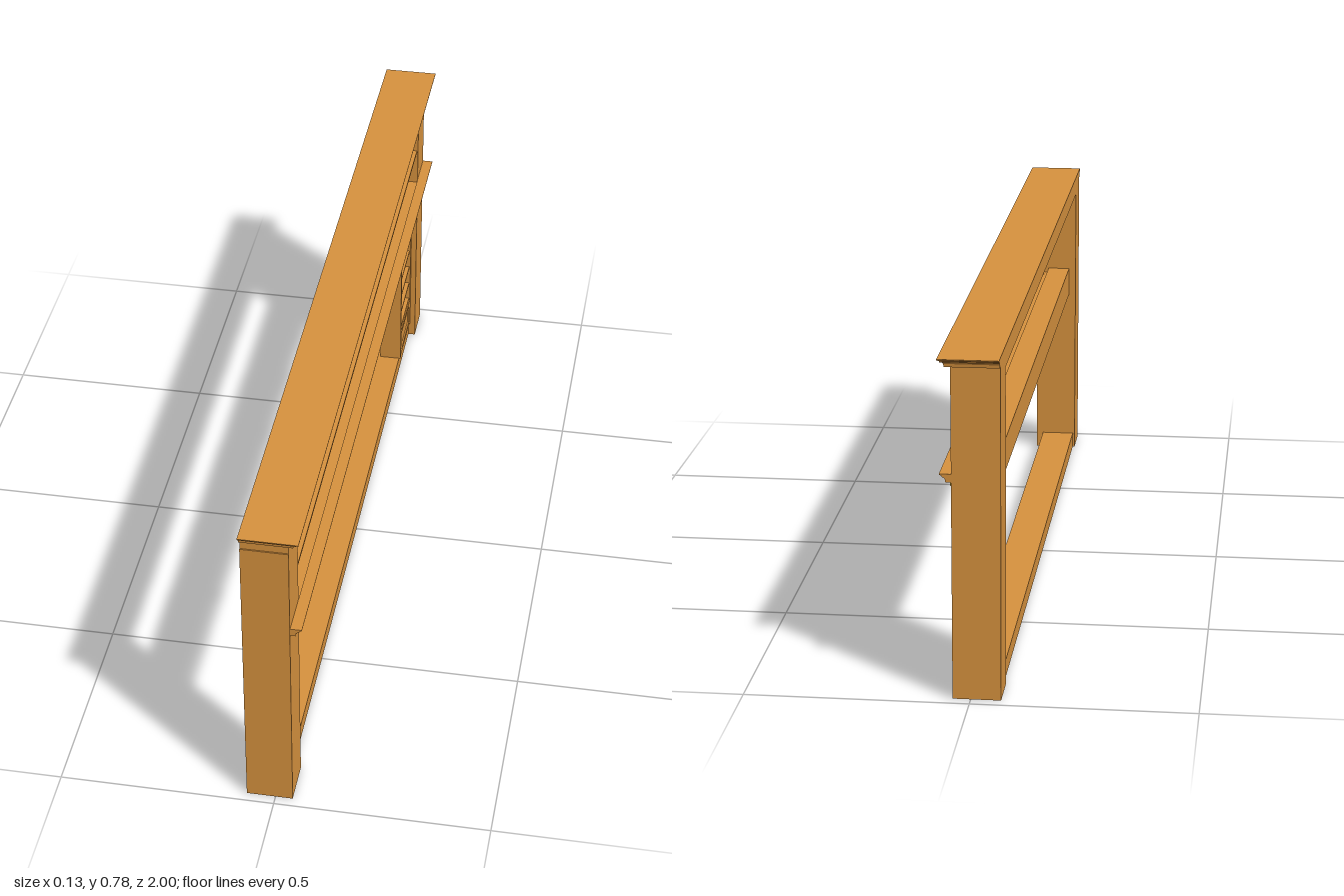
import * as THREE from 'three';

const wood = new THREE.MeshStandardMaterial({ color: 0xd8933f });
wood.name = 'oak wood';
const brass = new THREE.MeshStandardMaterial({ color: 0xb8962a });
brass.name = 'brass';

const BACK = -0.067, FRONT = 0.04, END = 0.974, INNER = 0.875;

function add(parent, name, geometry, material = wood) {
  const mesh = new THREE.Mesh(geometry, material);
  mesh.name = name;
  parent.add(mesh);
  return mesh;
}

// Box given by its limits on each axis
function box(parent, name, x0, x1, y0, y1, z0, z1) {
  const mesh = add(parent, name, new THREE.BoxGeometry(x1 - x0, y1 - y0, z1 - z0));
  mesh.position.set((x0 + x1) / 2, (y0 + y1) / 2, (z0 + z1) / 2);
  return mesh;
}

// Profile in x and y, run straight along z
function moulding(parent, name, points, z0, z1) {
  const shape = new THREE.Shape(points.map(([x, y]) => new THREE.Vector2(x, y)));
  const geometry = new THREE.ExtrudeGeometry(shape, { depth: z1 - z0, bevelEnabled: false });
  geometry.translate(0, 0, z0);
  return add(parent, name, geometry);
}

// Mitred cornice: rectangles growing by an overhang on the front and both ends
function corniceGeometry(profile) {
  const rings = profile.map(([o, y]) => [
    [BACK, y, END + o], [FRONT + o, y, END + o],
    [FRONT + o, y, -END - o], [BACK, y, -END - o],
  ]);
  const out = [];
  const quad = (a, b, c, d) => out.push(...a, ...b, ...c, ...a, ...c, ...d);
  for (let i = 0; i < rings.length - 1; i++) {
    for (let k = 0; k < 4; k++) {
      const n = (k + 1) % 4;
      quad(rings[i][k], rings[i][n], rings[i + 1][n], rings[i + 1][k]);
    }
  }
  const low = rings[0];
  quad(low[3], low[2], low[1], low[0]);
  quad(...rings[rings.length - 1]);
  const geometry = new THREE.BufferGeometry();
  geometry.setAttribute('position', new THREE.Float32BufferAttribute(out, 3));
  geometry.computeVertexNormals();
  return geometry;
}

const CAB_Z0 = -INNER, CAB_Z1 = -0.7, SIDE = 0.011;

// Open shelf cabinet on a closed base
function shelfCabinet(parent, name, x0, x1, y0, y1, baseTop, openTop, shelves) {
  const group = new THREE.Group();
  group.name = name;
  const xi = x0 + 0.006, za = CAB_Z0 + SIDE, zb = CAB_Z1 - SIDE;
  box(group, 'cabinetBack', x0, xi, y0, y1, CAB_Z0, CAB_Z1);
  box(group, 'innerSide', xi, x1, y0, y1, zb, CAB_Z1);
  box(group, 'outerSide', xi, x1, y0, y1, CAB_Z0, za);
  box(group, 'cabinetTop', xi, x1, openTop, y1, za, zb);
  box(group, 'cabinetBase', xi, x1 - 0.004, y0, baseTop, za, zb);
  for (const y of shelves) {
    box(group, 'shelf', xi, x1 - 0.003, y - 0.0025, y + 0.0025, za, zb);
  }
  parent.add(group);
}

// Raised border around a panel on the cabinet base
function panelFrame(parent, x, y0, y1) {
  const w = CAB_Z1 - CAB_Z0 - 2 * SIDE, h = y1 - y0, m = 0.012;
  const border = new THREE.Shape();
  border.moveTo(0, 0).lineTo(w, 0).lineTo(w, h).lineTo(0, h).closePath();
  const hole = new THREE.Path();
  hole.moveTo(m, m).lineTo(m, h - m).lineTo(w - m, h - m).lineTo(w - m, m).closePath();
  border.holes.push(hole);
  const frame = add(parent, 'panelFrame', new THREE.ExtrudeGeometry(border, { depth: 0.004, bevelEnabled: false }));
  frame.rotation.y = Math.PI / 2;
  frame.position.set(x, y0, CAB_Z1 - SIDE);
}

export function createModel() {
  const model = new THREE.Group();
  model.name = 'barFrame';

  // Main frame
  box(model, 'leftPost', BACK, FRONT, 0, 0.73, INNER, END + 0.003);
  box(model, 'rightPost', BACK, FRONT, 0, 0.73, -END, -INNER);
  box(model, 'topBeam', BACK, FRONT, 0.73, 0.757, -END, END);
  box(model, 'bottomRail', -0.062, 0.022, 0, 0.04, -INNER, INNER);

  // Middle beam with a lower step along the front of the counter
  box(model, 'middleBeam', -0.049, 0.018, 0.445, 0.508, -INNER, INNER);
  box(model, 'counterTop', -0.049, 0.008, 0.508, 0.519, -INNER, INNER);
  box(model, 'counterStep', 0.018, FRONT, 0.497, 0.508, -INNER, INNER);

  // Cornice and counter edge
  add(model, 'cornice', corniceGeometry([
    [0.012, 0.757], [0.013, 0.764], [0.016, 0.768], [0.02, 0.769],
    [0.021, 0.772], [0.026, 0.775], [0.026, 0.777],
  ]));
  moulding(model, 'counterMoulding', [
    [FRONT, 0.497], [0.052, 0.497], [0.053, 0.504], [0.056, 0.508],
    [0.06, 0.509], [0.061, 0.512], [0.066, 0.514], [0.066, 0.516], [FRONT, 0.516],
  ], -END, END);

  // Shelf cabinets above and below the counter
  shelfCabinet(model, 'lowerCabinet', -0.03, 0.026, 0.04, 0.445, 0.125, 0.44,
    [0.128, 0.18, 0.234, 0.287, 0.34, 0.394]);
  panelFrame(model, 0.022, 0.046, 0.125);
  shelfCabinet(model, 'upperCabinet', -0.044, 0.012, 0.517, 0.73, 0.545, 0.725, [0.585, 0.62, 0.675]);

  // Upper rail with its turned support
  moulding(model, 'upperRail', [
    [0.017, 0.592], [0.035, 0.592], [0.035, 0.603], [0.037, 0.603],
    [0.037, 0.607], [0.015, 0.607], [0.015, 0.603], [0.017, 0.603],
  ], -INNER, INNER);
  const turned = [
    [0, 0], [0.008, 0], [0.008, 0.004], [0.004, 0.008], [0.006, 0.018], [0.007, 0.025],
    [0.004, 0.036], [0.003, 0.046], [0.005, 0.05], [0.003, 0.054], [0.006, 0.068], [0.006, 0.084], [0, 0.084],
  ].map(([r, y]) => new THREE.Vector2(r, y));
  const support = add(model, 'railSupport', new THREE.LatheGeometry(turned, 16));
  support.position.set(0.026, 0.508, 0.845);

  // Brass rod with end knobs and mounts
  const rod = add(model, 'brassRod', new THREE.CylinderGeometry(0.005, 0.005, 1.8, 16), brass);
  rod.rotation.x = Math.PI / 2;
  rod.position.set(0.046, 0.471, 0);
  for (const side of [-1, 1]) {
    const knob = add(model, 'rodKnob', new THREE.SphereGeometry(0.007, 16, 10), brass);
    knob.position.set(0.045, 0.471, side * 0.903);
    const mount = add(model, 'rodMount', new THREE.CylinderGeometry(0.006, 0.006, 0.008, 16), brass);
    mount.rotation.z = Math.PI / 2;
    mount.position.set(0.042, 0.471, side * 0.885);
  }
  return model;
}
